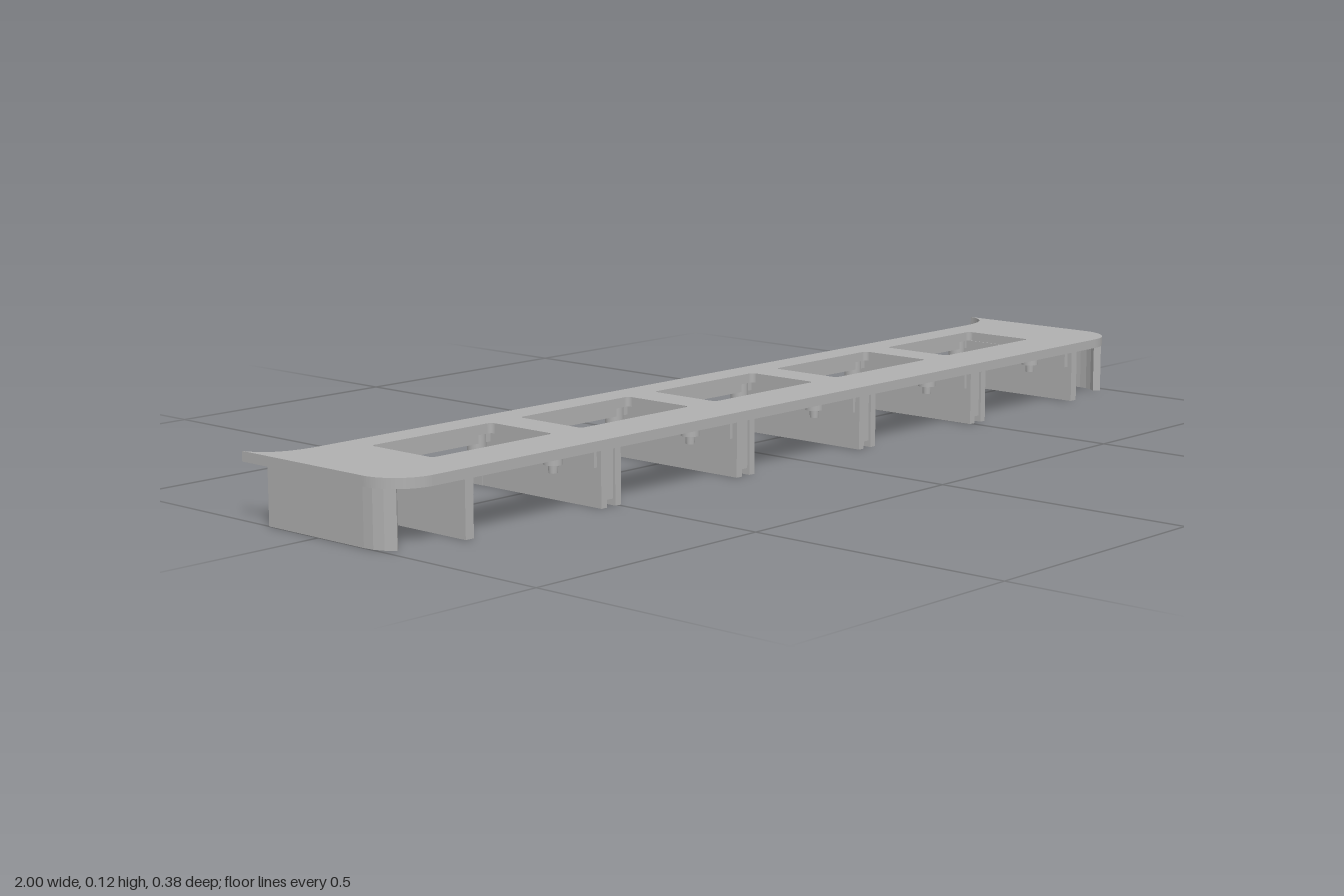
import * as THREE from 'three';

const grey = new THREE.MeshStandardMaterial({ color: 0xb0b0b0 });
grey.name = 'grey plastic';

export function createModel() {
  const group = new THREE.Group();

  const add = (name, geometry, x = 0, y = 0, z = 0) => {
    const mesh = new THREE.Mesh(geometry, grey);
    mesh.name = name;
    mesh.position.set(x, y, z);
    group.add(mesh);
    return mesh;
  };
  // box given by its limits
  const block = (name, x0, x1, y0, y1, z0, z1) =>
    add(name, new THREE.BoxGeometry(x1 - x0, y1 - y0, z1 - z0),
      (x0 + x1) / 2, (y0 + y1) / 2, (z0 + z1) / 2);
  // plan shape (x, -z) raised from y to y + h
  const slab = (name, shape, y, h) => {
    const g = new THREE.ExtrudeGeometry(shape, { depth: h, bevelEnabled: false, curveSegments: 14 });
    g.rotateX(-Math.PI / 2);
    return add(name, g, 0, y, 0);
  };

  const pitch = 0.345, windowZ = 0.01;
  const windows = [-2, -1, 0, 1, 2].map(i => i * pitch);

  // top plate with rounded front corners, swept rear horns and five windows
  const plate = new THREE.Shape();
  plate.moveTo(-0.92, -0.19);
  plate.lineTo(0.92, -0.19);
  plate.absarc(0.92, -0.11, 0.08, -Math.PI / 2, 0, false);
  plate.lineTo(1, 0.19);
  plate.quadraticCurveTo(0.985, 0.125, 0.89, 0.125);
  plate.lineTo(-0.89, 0.125);
  plate.quadraticCurveTo(-0.985, 0.125, -1, 0.19);
  plate.lineTo(-1, -0.11);
  plate.absarc(-0.92, -0.11, 0.08, Math.PI, Math.PI * 1.5, false);
  for (const cx of windows) {
    const w = 0.138, h = 0.076, r = 0.01, cy = -windowZ;
    const hole = new THREE.Path();
    hole.absarc(cx + w - r, cy + h - r, r, 0, Math.PI / 2, false);
    hole.absarc(cx - w + r, cy + h - r, r, Math.PI / 2, Math.PI, false);
    hole.absarc(cx - w + r, cy - h + r, r, Math.PI, Math.PI * 1.5, false);
    hole.absarc(cx + w - r, cy - h + r, r, Math.PI * 1.5, Math.PI * 2, false);
    hole.closePath();
    plate.holes.push(hole);
  }
  slab('topPlate', plate, 0.1, 0.018);

  // end walls following the start of the front corner curve
  for (const s of [-1, 1]) {
    const wall = new THREE.Shape();
    wall.moveTo(s * 0.985, 0.125);
    wall.lineTo(s, 0.125);
    wall.lineTo(s, -0.11);
    for (const a of [0.25, 0.5, 0.76])
      wall.lineTo(s * (0.92 + 0.08 * Math.cos(a)), -0.11 - 0.08 * Math.sin(a));
    for (const a of [0.76, 0.5, 0.25, 0])
      wall.lineTo(s * (0.92 + 0.065 * Math.cos(a)), -0.11 - 0.065 * Math.sin(a));
    slab('endWall', wall, 0, 0.1);

    // thin outer rib with a foot under the plate
    block('outerRib', s * 0.845 - 0.009, s * 0.845 + 0.009, 0, 0.1, -0.125, 0.19);
    block('outerRibLedge', s * 0.838 - 0.012, s * 0.838 + 0.012, 0.07, 0.1, -0.115, 0.18);
  }

  // double ribs between the windows, closed by a post at the back
  for (const i of [-1.5, -0.5, 0.5, 1.5]) {
    const x = i * pitch;
    for (const s of [-1, 1])
      block('ribSide', x + s * 0.017 - 0.007, x + s * 0.017 + 0.007, 0, 0.1, -0.11, 0.19);
    block('ribWeb', x - 0.012, x + 0.012, 0.012, 0.1, -0.11, 0.185);
    block('ribPost', x - 0.025, x + 0.025, 0, 0.1, -0.125, -0.1);
    block('ribShoulder', x - 0.031, x + 0.031, 0.07, 0.1, -0.12, 0.18);
  }

  // rails and pegs under each window
  for (const cx of windows) {
    for (const s of [-1, 1]) {
      const z = windowZ + s * 0.094;
      block('windowRail', cx - 0.14, cx + 0.14, 0.084, 0.1, z - 0.014, z + 0.014);
      for (const t of [-1, 1]) {
        add('pegCollar', new THREE.CylinderGeometry(0.017, 0.017, 0.03, 16), cx + t * 0.12, 0.085, z);
        add('peg', new THREE.CylinderGeometry(0.01, 0.008, 0.03, 16), cx + t * 0.12, 0.07, z);
      }
    }
  }
  return group;
}
